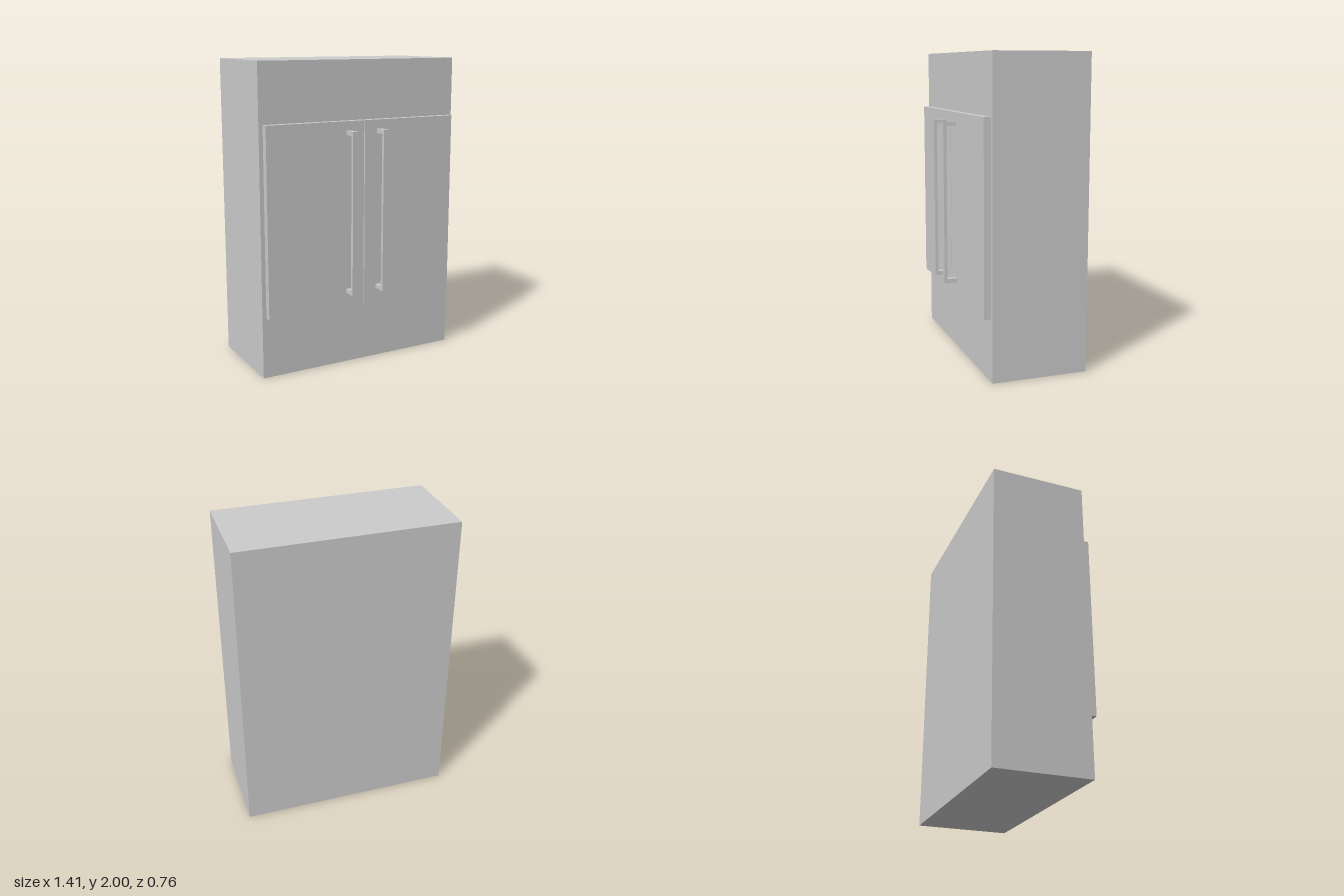
import * as THREE from 'three';

const material = new THREE.MeshStandardMaterial({ color: 0xcccccc, flatShading: true });

// Box given by its minimum and maximum corners
function box(name, [x0, y0, z0], [x1, y1, z1]) {
  const mesh = new THREE.Mesh(new THREE.BoxGeometry(x1 - x0, y1 - y0, z1 - z0), material);
  mesh.position.set((x0 + x1) / 2, (y0 + y1) / 2, (z0 + z1) / 2);
  mesh.name = name;
  return mesh;
}

// Square-section pull handle: a C outline in depth and height, extruded across its width
function handle(name, x) {
  const width = 0.034, reach = 0.087, bar = 0.021, foot = 0.027, y0 = 0.496, y1 = 1.561;
  const outline = new THREE.Shape([
    [0, y0], [reach, y0], [reach, y1], [0, y1],
    [0, y1 - foot], [reach - bar, y1 - foot], [reach - bar, y0 + foot], [0, y0 + foot],
  ].map(([z, y]) => new THREE.Vector2(z, y)));
  const geometry = new THREE.ExtrudeGeometry(outline, { depth: width, bevelEnabled: false });
  geometry.rotateY(-Math.PI / 2); // outline depth now runs along +z
  geometry.translate(width / 2, 0, 0);
  const mesh = new THREE.Mesh(geometry, material);
  mesh.position.set(x, 0, 0.292);
  mesh.name = name;
  return mesh;
}

export function createModel() {
  const model = new THREE.Group();
  model.name = 'cabinet';

  // Main carcass
  model.add(box('body', [-0.705, 0, -0.379], [0.705, 2, 0.247]));

  // Pair of doors with a narrow gap between them
  model.add(box('rightDoor', [-0.678, 0.4, 0.247], [0.001, 1.62, 0.292]));
  model.add(box('leftDoor', [0.007, 0.4, 0.247], [0.678, 1.62, 0.292]));

  // Handles either side of the gap
  model.add(handle('rightHandle', -0.112));
  model.add(handle('leftHandle', 0.112));

  return model;
}
